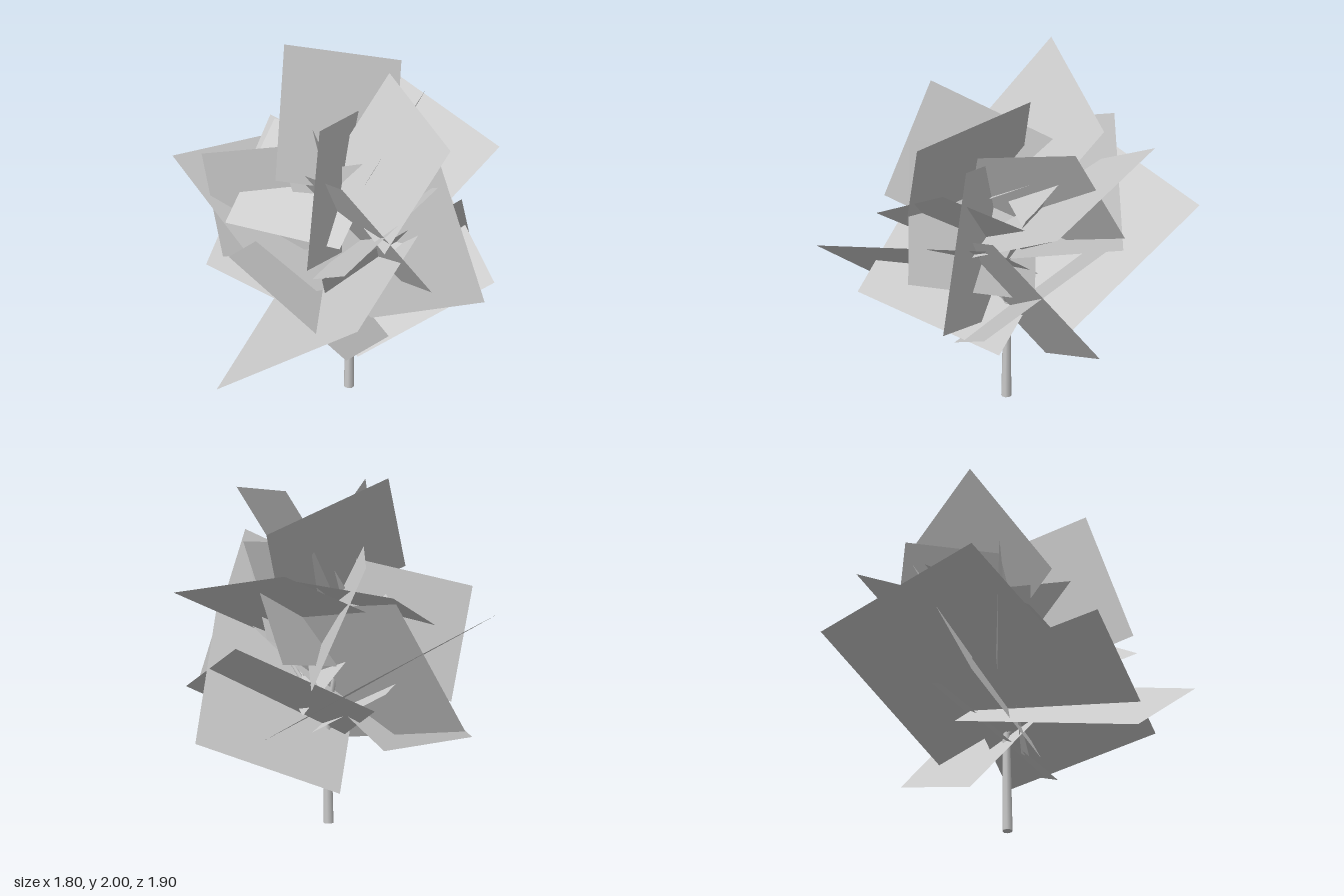
import * as THREE from 'three';

// Flat square leaf card: one edge runs from corner a to corner b; the other
// edge has the same length, is square to the first, and points along a
// compass heading (degrees from +x towards +z)
function leafCard([ax, ay, az, bx, by, bz, heading], material) {
  const a = new THREE.Vector3(ax, ay, az);
  const u = new THREE.Vector3(bx, by, bz).sub(a);
  const h = THREE.MathUtils.degToRad(heading);
  const v = new THREE.Vector3(Math.cos(h), 0, Math.sin(h));
  v.y = -u.dot(v) / u.y;
  v.setLength(u.length());

  const geometry = new THREE.PlaneGeometry(1, 1);
  const p = geometry.attributes.position;
  for (let i = 0; i < p.count; i++) {
    const q = a.clone().addScaledVector(u, p.getX(i) + 0.5).addScaledVector(v, p.getY(i) + 0.5);
    p.setXYZ(i, q.x, q.y, q.z);
  }
  geometry.computeVertexNormals();
  return new THREE.Mesh(geometry, material);
}

// Tapered round limb between two points
function limb(from, to, r0, r1, material) {
  const a = new THREE.Vector3(...from);
  const d = new THREE.Vector3(...to).sub(a);
  const mesh = new THREE.Mesh(new THREE.CylinderGeometry(r1, r0, d.length(), 8), material);
  mesh.position.copy(a).addScaledVector(d, 0.5);
  mesh.quaternion.setFromUnitVectors(new THREE.Vector3(0, 1, 0), d.normalize());
  return mesh;
}

export function createModel() {
  const tree = new THREE.Group();
  tree.name = 'tree';
  const bark = new THREE.MeshStandardMaterial({ color: 0xcccccc });
  const leaf = new THREE.MeshStandardMaterial({ color: 0xcccccc, side: THREE.DoubleSide });

  // Trunk
  const trunk = limb([0.053, 0, 0.05], [0.062, 0.6, 0.05], 0.028, 0.02, bark);
  trunk.name = 'trunk';
  tree.add(trunk);

  // Thin branches inside the crown
  const branches = new THREE.Group();
  branches.name = 'branches';
  for (const tip of [[0.27, 1.08, 0.36], [-0.12, 0.8, 0.2], [0.02, 1.2, -0.08]]) {
    branches.add(limb([0.062, 0.58, 0.05], tip, 0.018, 0.005, bark));
  }
  tree.add(branches);

  // Crown of crossing square leaf cards
  const cards = [
    // upper crown
    [-0.10, 2.00, -0.35, -0.39, 1.40, -0.01, 10],
    [-0.31, 1.83, 0.30, -0.51, 1.10, 0.47, -38],
    [0.31, 1.885, 0.065, -0.02, 1.27, -0.09, 96],
    [0.62, 1.66, -0.02, 0.57, 1.04, -0.38, 149],
    [0.64, 1.575, -0.53, -0.135, 1.175, -0.41, 73],
    // back of the crown
    [0.165, 1.58, -0.585, 0.436, 0.89, -0.46, 117],
    [-0.57, 1.27, -0.74, -0.48, 0.78, 0.185, -13],
    [0.02, 1.375, -0.66, -0.43, 0.60, -0.62, 66],
    [-0.535, 1.38, -0.51, -0.435, 0.73, -0.45, 42],
    [0, 1.39, -0.59, -0.53, 1.05, -0.29, 61],
    // front of the crown
    [0.325, 1.58, 0.50, 0.47, 0.72, 0.75, -127],
    [-0.275, 1.53, 0.465, 0.125, 0.89, 0.745, -81],
    [0.26, 1.44, 0.61, 0.45, 1.08, 0.02, 179],
    // lower crown
    [-0.90, 0.34, 0.17, -0.49, 0.93, 0.93, -34],
    [0.90, 0.55, 0.01, 0.52, 1.21, 0.455, -167],
    [0.64, 0.715, 0.595, 0.74, 1.10, -0.155, -158],
    [-0.415, 0.62, 0.71, -0.725, 1.05, 0.03, -34],
  ];
  const crown = new THREE.Group();
  crown.name = 'crown';
  cards.forEach((c, i) => {
    const card = leafCard(c, leaf);
    card.name = `leafCard${i + 1}`;
    crown.add(card);
  });
  tree.add(crown);
  return tree;
}
